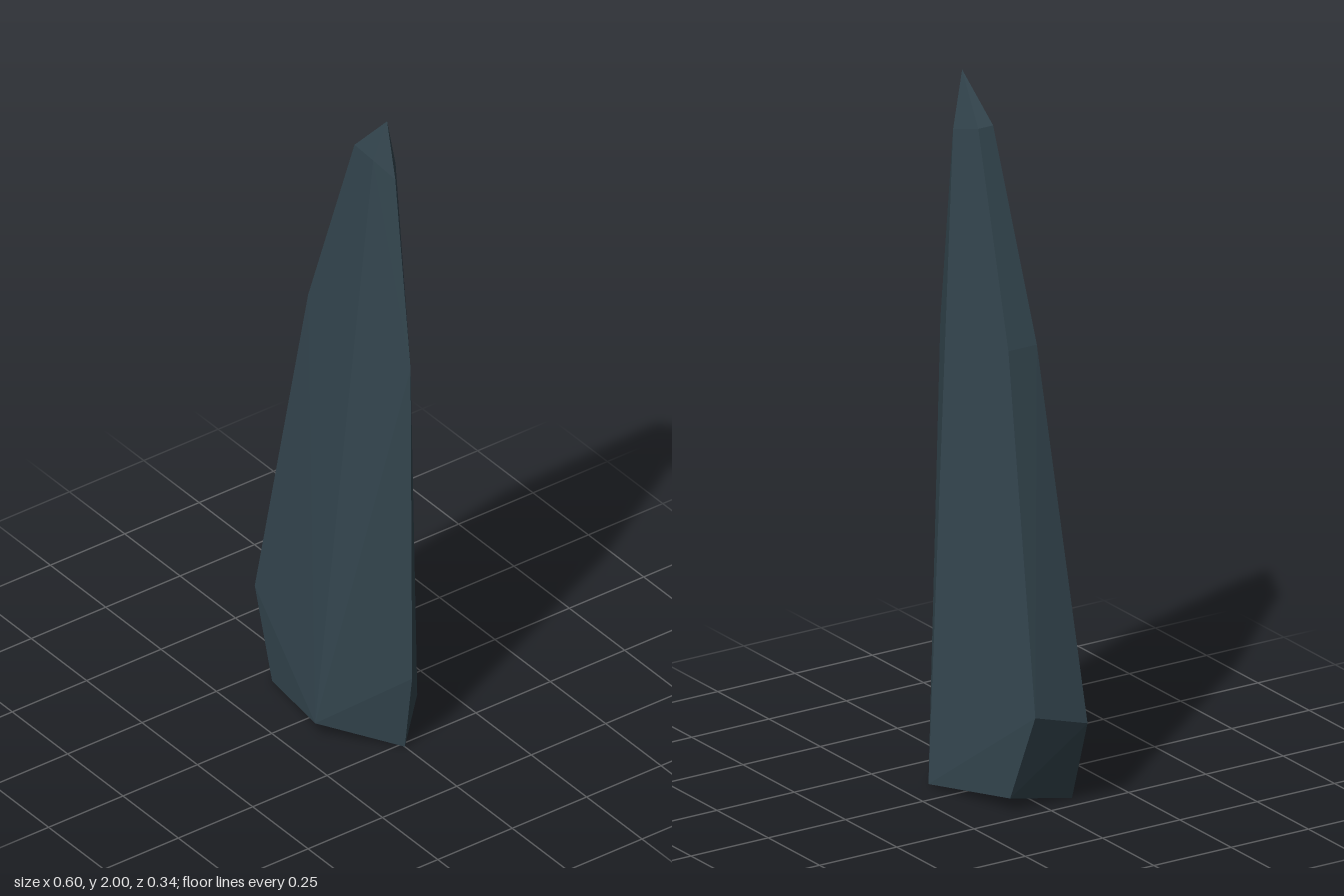
import * as THREE from 'three';
import { ConvexGeometry } from 'three/addons/geometries/ConvexGeometry.js';

// Faceted shard: sharp edge on +x, a ridge on each broad side, blunt edge on -x.
export function createModel() {
  const group = new THREE.Group();
  group.name = 'shard';
  const points = [];
  const add = (x, y, z) => points.push(new THREE.Vector3(x, y, z));

  // Tip and sharp edge
  add(0.185, 2, 0);
  for (const [x, y] of [[0.222, 1.83], [0.291, 1.25], [0.298, 0.24], [0.265, 0]]) add(x, y, 0);

  // Blunt edge, paired front and back
  for (const [x, y, z] of [[0.07, 1.87, 0.024], [-0.11, 1.29, 0.046]]) {
    add(x, y, z);
    add(x, y, -z);
  }
  add(-0.3, 0.25, 0.084);
  add(-0.3, 0.3, -0.085);

  // Side ridges, top and bottom
  add(0.172, 1.88, 0.037);
  add(0.172, 1.84, -0.038);
  add(0.09, 0.05, 0.171);
  add(0.09, 0.005, -0.172);

  // Cut foot below the blunt edge
  add(-0.2, 0, 0.1);
  add(-0.2, 0.04, -0.1);

  const blade = new THREE.Mesh(
    new ConvexGeometry(points),
    new THREE.MeshStandardMaterial({ color: 0x33454e, flatShading: true })
  );
  blade.name = 'shardBody';
  group.add(blade);
  return group;
}
